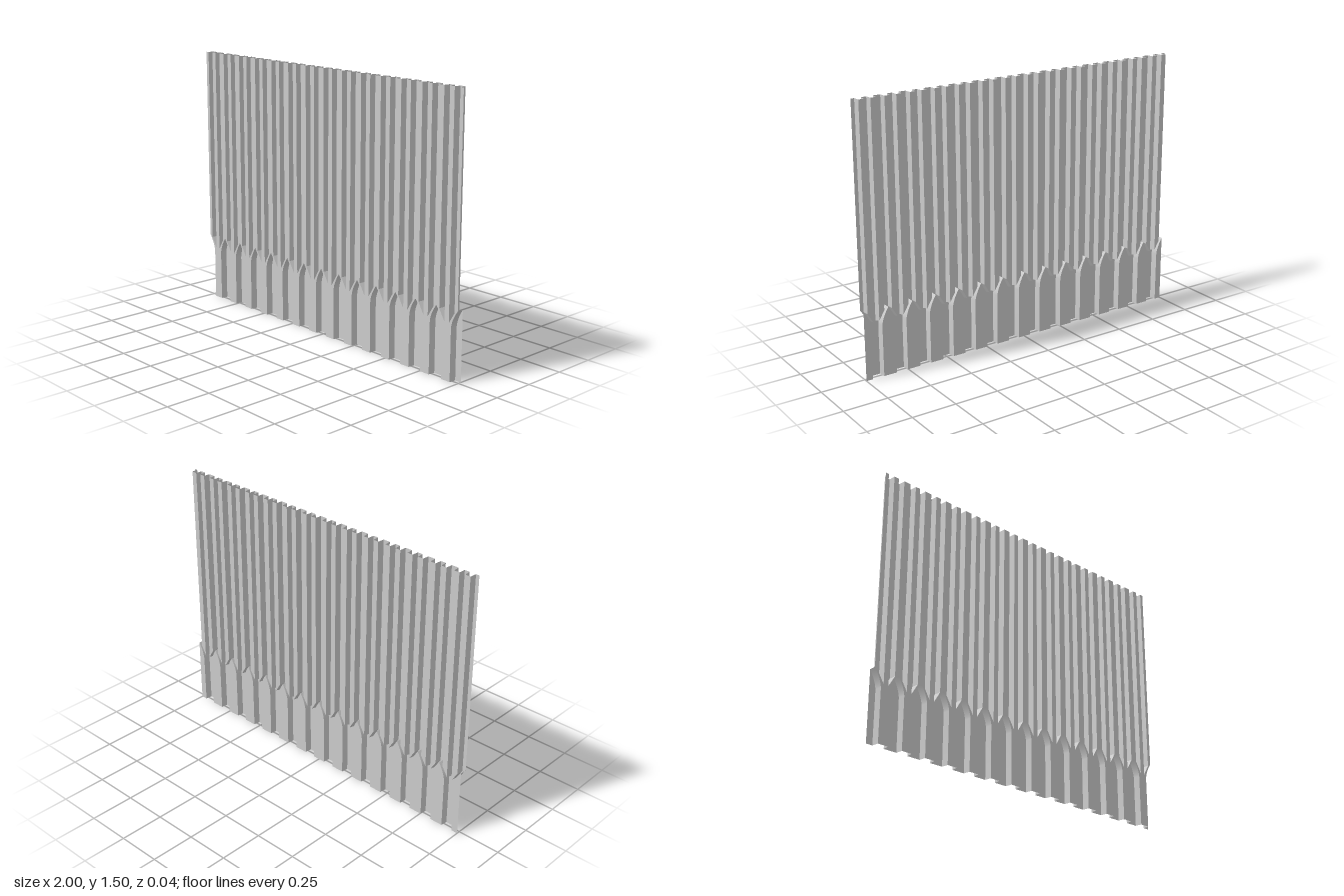
import * as THREE from 'three';
import { toCreasedNormals } from 'three/addons/utils/BufferGeometryUtils.js';

const CELLS = 14, PITCH = 2 / CELLS, HALF = PITCH / 2;
const HEIGHT = 1.5, FRONT = 0.019, BACK = -0.019;
const material = new THREE.MeshStandardMaterial({ color: 0xcccccc, side: THREE.DoubleSide });
const v = (x, y) => new THREE.Vector2(x, y);

// flat plate bounded by a closed outline at depth z
function plate(points, z) {
  return new THREE.ShapeGeometry(new THREE.Shape(points)).translate(0, 0, z);
}

// wall joining a front outline to its slightly inset back outline
function wall(front, back) {
  const pos = [], index = [];
  front.forEach((p, i) => {
    pos.push(p.x, p.y, FRONT, back[i].x, back[i].y, BACK);
    if (i) {
      const a = 2 * i - 2;
      index.push(a, a + 1, a + 2, a + 1, a + 3, a + 2);
    }
  });
  const g = new THREE.BufferGeometry();
  g.setAttribute('position', new THREE.Float32BufferAttribute(pos, 3));
  g.setIndex(index);
  g.computeVertexNormals();
  return toCreasedNormals(g, 0.5);
}

export function createModel() {
  const model = new THREE.Group();
  model.name = 'archedPanel';

  // half a cell: x = 0 is the arch centre, x = HALF the column centre
  const arch = new THREE.QuadraticBezierCurve(v(0, 0.385), v(0.042, 0.325), v(0.042, 0.28));
  const niche = [...arch.getPoints(10), v(0.042, 0)];
  const nicheBack = niche.map((p) => v(p.x * 0.9, p.y));
  const recess = [v(0.02, HEIGHT), v(0.02, 0.372), v(0.057, 0.31), v(0.057, HEIGHT)];
  const recessBack = [v(0.023, HEIGHT), v(0.023, 0.372), v(0.054, 0.32), v(0.054, HEIGHT)];

  const parts = {
    // ribs, columns and the chevron band between arch and recess
    ribFace: plate([v(0, HEIGHT), ...niche, v(HALF, 0), v(HALF, HEIGHT), ...[...recess].reverse()], FRONT),
    nichePanel: plate([...nicheBack, v(0, 0)], BACK),
    nicheWall: wall(niche, nicheBack),
    recessPanel: plate(recessBack, BACK),
    recessWall: wall(recess, recessBack),
  };

  // mirrored halves repeat along the panel, with half arches at both ends
  for (let i = 0; i <= CELLS; i++) {
    for (const side of [-1, 1]) {
      if ((i === 0 && side < 0) || (i === CELLS && side > 0)) continue;
      const half = new THREE.Group();
      half.name = side < 0 ? 'archHalfRight' : 'archHalfLeft';
      for (const [name, geometry] of Object.entries(parts)) {
        const mesh = new THREE.Mesh(geometry, material);
        mesh.name = name;
        half.add(mesh);
      }
      half.position.x = -1 + i * PITCH;
      half.scale.x = side;
      model.add(half);
    }
  }
  return model;
}
